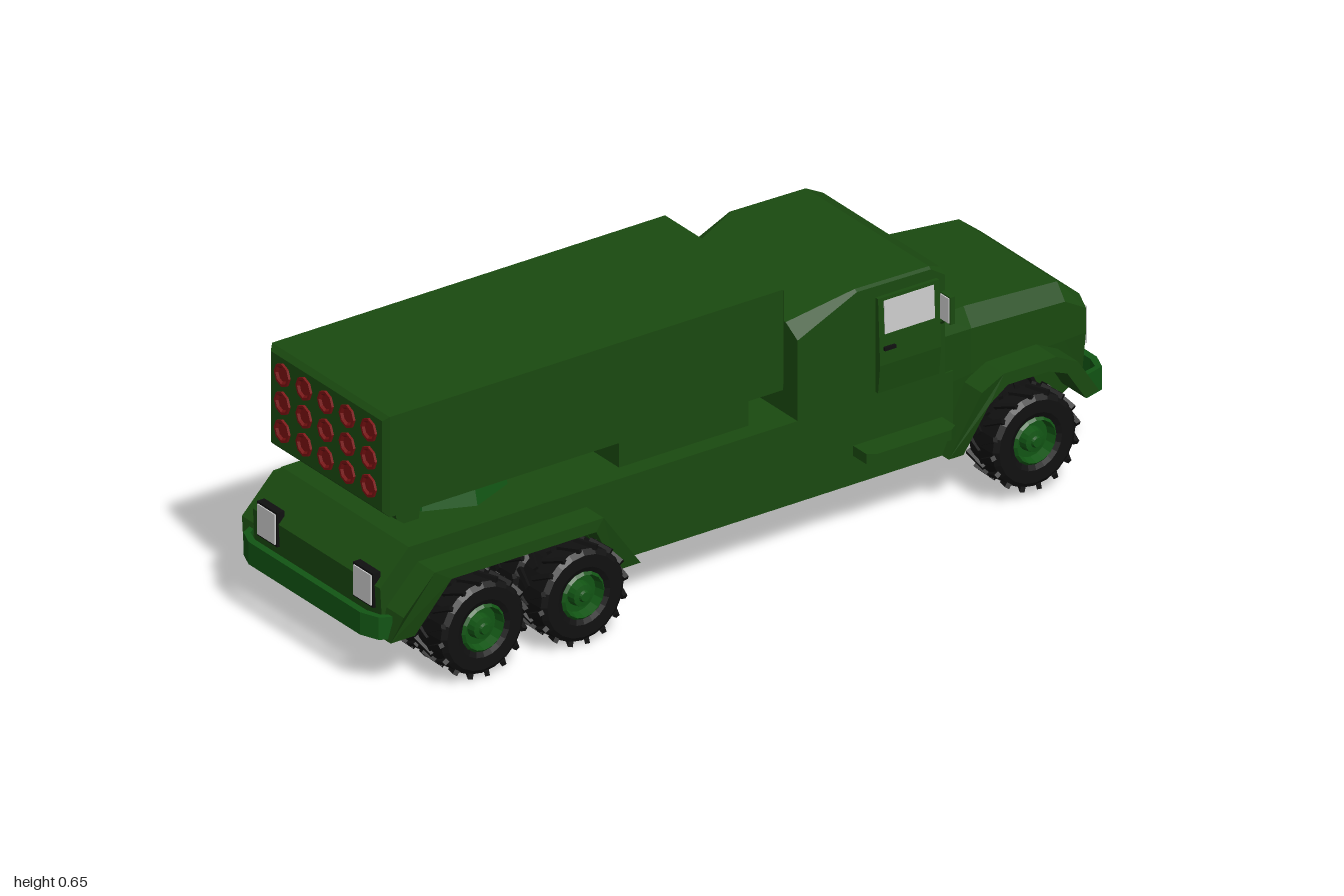
import * as THREE from 'three';
import { mergeGeometries } from 'three/addons/utils/BufferGeometryUtils.js';

const mat = (color) => new THREE.MeshStandardMaterial({ color, flatShading: true });
const green = mat(0x1a4a10), bright = mat(0x125514), black = mat(0x101010);
const red = mat(0x7a1212), grey = mat(0xcccccc);

export function createModel() {
  const model = new THREE.Group();
  const add = (name, geometry, material = green, x = 0, y = 0, z = 0) => {
    const mesh = new THREE.Mesh(geometry, material);
    mesh.name = name;
    mesh.position.set(x, y, z);
    model.add(mesh);
    return mesh;
  };
  const box = (name, w, h, d, x, y, z, material) => add(name, new THREE.BoxGeometry(w, h, d), material, x, y, z);
  const shapeOf = (pts) => new THREE.Shape(pts.map(([a, b]) => new THREE.Vector2(a, b)));

  // Side outline in (z, y), extruded between x0 and x1
  const sideExtrude = (pts, x0, x1) =>
    new THREE.ExtrudeGeometry(shapeOf(pts), { depth: x1 - x0, bevelEnabled: false })
      .rotateY(-Math.PI / 2).translate(x1, 0, 0);

  // Plan outline in (x, z), extruded between y0 and y1
  const planExtrude = (pts, y0, y1) =>
    new THREE.ExtrudeGeometry(shapeOf(pts), { depth: y1 - y0, bevelEnabled: false })
      .rotateX(Math.PI / 2).translate(0, y1, 0);

  // Skin over mirrored sections: [z, half outline from bottom to top], running towards -z
  const loft = (sections) => {
    const pos = [], idx = [];
    const n = sections[0][1].length * 2;
    for (const [z, half] of sections) {
      const ring = [...half, ...half.map(([x, y]) => [-x, y]).reverse()];
      ring.forEach(([x, y]) => pos.push(x, y, z));
    }
    for (let i = 0; i < sections.length - 1; i++)
      for (let j = 0; j < n; j++) {
        const a = i * n + j, b = i * n + (j + 1) % n;
        idx.push(a, a + n, b, b, a + n, b + n);
      }
    const last = (sections.length - 1) * n;
    for (let j = 1; j < n - 1; j++) idx.push(0, j, j + 1, last, last + j + 1, last + j);
    const g = new THREE.BufferGeometry();
    g.setAttribute('position', new THREE.Float32BufferAttribute(pos, 3));
    g.setIndex(idx);
    g.computeVertexNormals();
    return g;
  };

  // Bed and chassis
  add('bed', sideExtrude([[0.96, 0.13], [0.967, 0.25], [0.89, 0.33], [-0.58, 0.33], [-0.58, 0.13],
    [0.355, 0.13], [0.43, 0.255], [0.82, 0.255], [0.89, 0.13]], -0.24, 0.24));
  box('chassis', 0.23, 0.15, 1.82, 0, 0.205, 0.01);

  // Cab, with the roof dropping and narrowing towards the back
  const cabSection = (z, top, chamfer) =>
    [z, [[0.24, 0.32], [0.24, top - chamfer * 0.6], [0.24 - chamfer, top]]];
  add('cab', loft([cabSection(-0.16, 0.555, 0.045), cabSection(-0.32, 0.605, 0.008),
    cabSection(-0.52, 0.602, 0.008), cabSection(-0.558, 0.585, 0.02)]));

  // Hood and nose
  const hoodSection = (z, low, w, shoulder, wTop, top) =>
    [z, [[w - 0.015, low], [w, 0.3], [w, shoulder], [wTop, top]]];
  add('hood', loft([hoodSection(-0.55, 0.13, 0.24, 0.42, 0.215, 0.462),
    hoodSection(-0.64, 0.13, 0.225, 0.41, 0.195, 0.453),
    hoodSection(-0.9, 0.16, 0.215, 0.395, 0.185, 0.433),
    hoodSection(-0.96, 0.19, 0.21, 0.36, 0.185, 0.385)]));
  box('grille', 0.33, 0.12, 0.012, 0, 0.313, -0.959, black);
  for (let i = 0; i < 4; i++) box('grilleBar', 0.32, 0.008, 0.01, 0, 0.274 + i * 0.026, -0.963);
  box('grilleDivider', 0.012, 0.12, 0.01, 0, 0.313, -0.963);

  // Bumpers that wrap around the corners
  const bumper = (name, end, w, back, y0, y1) => {
    const s = Math.sign(end);
    const outer = [[w, end - s * back], [w - 0.015, end - s * 0.018], [w - 0.06, end]];
    const inner = [[w - 0.06, end - s * 0.018], [w - 0.025, end - s * 0.03], [w - 0.015, end - s * back]];
    const half = [...outer, ...inner];
    const mirrored = (pts) => pts.map(([x, z]) => [-x, z]).reverse();
    add(name, planExtrude([...outer, ...mirrored(outer), ...mirrored(half.slice(3)), ...inner], y0, y1), bright);
  };
  bumper('frontBumper', -1, 0.255, 0.07, 0.165, 0.222);
  bumper('rearBumper', 1, 0.27, 0.045, 0.135, 0.19);

  // Fender arches, drawn in at the foot
  const fender = (name, pts, side, x0, x1) => {
    const g = sideExtrude(pts, side > 0 ? x0 : -x1, side > 0 ? x1 : -x0);
    const p = g.attributes.position;
    for (let i = 0; i < p.count; i++)
      if (p.getY(i) < 0.16 && Math.abs(p.getX(i)) > x1 - 0.01) p.setX(i, side * (x1 - 0.028));
    g.computeVertexNormals();
    add(name, g);
  };

  // Wheel parts, turning around x
  const lathe = (pts, n) =>
    new THREE.LatheGeometry(pts.map(([r, x]) => new THREE.Vector2(r, x)), n).rotateZ(-Math.PI / 2);
  const tyreGeo = lathe([[0.055, -0.046], [0.07, -0.053], [0.1, -0.053], [0.112, -0.044],
    [0.114, 0], [0.112, 0.044], [0.1, 0.053], [0.07, 0.053], [0.055, 0.046], [0.05, 0], [0.055, -0.046]], 20);
  const lugs = [];
  for (let i = 0; i < 32; i++) {
    const s = i % 2 ? 1 : -1;
    lugs.push(new THREE.BoxGeometry(0.056, 0.012, 0.011).rotateY(s * 0.5)
      .translate(s * 0.026, 0.114, 0).rotateX(i * Math.PI / 16));
  }
  const treadGeo = mergeGeometries(lugs);
  const rimGeo = lathe([[0, -0.03], [0.054, -0.03], [0.058, 0.048], [0.052, 0.054], [0.046, 0.03],
    [0.03, 0.03], [0.026, 0.05], [0.014, 0.052], [0.011, 0.058], [0, 0.058]], 16);
  const wheel = (name, side, x, y, z) => {
    const g = new THREE.Group();
    g.name = name;
    g.add(new THREE.Mesh(tyreGeo, black), new THREE.Mesh(treadGeo, black), new THREE.Mesh(rimGeo, bright));
    ['tyre', 'tread', 'rim'].forEach((part, i) => { g.children[i].name = part; });
    g.position.set(side * x, y, z);
    if (side < 0) g.rotation.y = Math.PI;
    model.add(g);
  };

  for (const s of [1, -1]) {
    fender('rearFender', [[0.965, 0.13], [0.95, 0.2], [0.865, 0.287], [0.41, 0.287], [0.29, 0.13],
      [0.355, 0.13], [0.43, 0.258], [0.82, 0.258], [0.9, 0.13]], s, 0.235, 0.305);
    fender('frontFender', [[-0.55, 0.13], [-0.62, 0.285], [-0.68, 0.315], [-0.82, 0.315], [-0.88, 0.285],
      [-0.935, 0.2], [-0.9, 0.19], [-0.85, 0.265], [-0.8, 0.285], [-0.69, 0.285], [-0.64, 0.25],
      [-0.59, 0.13]], s, 0.2, 0.293);

    for (const z of [0.48, 0.75]) {
      wheel('rearOuterWheel', s, 0.277, 0.125, z);
      wheel('rearInnerWheel', s, 0.168, 0.125, z);
    }
    wheel('frontWheel', s, 0.277, 0.145, -0.74);

    // Door with a bulged skin, window and handle
    const door = new THREE.ExtrudeGeometry(
      shapeOf([[0.23, 0.34], [0.25, 0.34], [0.258, 0.41], [0.25, 0.572], [0.23, 0.572]]),
      { depth: 0.165, bevelEnabled: false });
    if (s < 0) door.rotateY(Math.PI).translate(0, 0, 0.165);
    add('door', door, green, 0, 0, -0.535);
    box('sideWindow', 0.006, 0.08, 0.135, s * 0.2515, 0.524, -0.452, grey).rotation.z = s * 0.049;
    box('doorHandle', 0.008, 0.008, 0.03, s * 0.259, 0.45, -0.395, black);

    // Step below the door
    add('step', planExtrude([[0.23, -0.55], [0.29, -0.55], [0.303, -0.53], [0.303, -0.33], [0.29, -0.31],
      [0.23, -0.31]].map(([x, z]) => [s * x, z]), 0.2, 0.225));

    // Mirror on a bent arm
    box('mirrorShell', 0.038, 0.067, 0.012, s * 0.279, 0.514, -0.537);
    box('mirrorGlass', 0.032, 0.061, 0.004, s * 0.279, 0.514, -0.53, grey);
    const arm = new THREE.CatmullRomCurve3([[0.24, 0.465], [0.258, 0.47], [0.275, 0.485]]
      .map(([x, y]) => new THREE.Vector3(s * x, y, -0.537)));
    add('mirrorArm', new THREE.TubeGeometry(arm, 6, 0.004, 5));

    // Windscreen panes and lights
    box('windscreenFrame', 0.212, 0.1, 0.006, s * 0.109, 0.524, -0.557, black);
    box('windscreen', 0.2, 0.088, 0.006, s * 0.109, 0.524, -0.56, grey);
    box('headlight', 0.034, 0.09, 0.012, s * 0.188, 0.315, -0.961, grey);
    const rearLight = box('rearLightFrame', 0.076, 0.084, 0.02, s * 0.181, 0.237, 0.961, black);
    const lens = new THREE.Mesh(new THREE.BoxGeometry(0.066, 0.074, 0.006), grey);
    lens.name = 'rearLight';
    lens.position.z = 0.01;
    rearLight.add(lens);
  }

  // Axles with a differential bulge
  for (const [y, z] of [[0.125, 0.48], [0.125, 0.75], [0.145, -0.74]])
    add('axle', lathe([[0, -0.22], [0.03, -0.22], [0.03, -0.11], [0.046, -0.1], [0.046, 0.1],
      [0.03, 0.11], [0.03, 0.22], [0, 0.22]], 8), green, 0, y, z);

  // Launcher mount
  box('frontMount', 0.39, 0.09, 0.35, 0, 0.37, 0.115);
  add('turntable', new THREE.CylinderGeometry(0.15, 0.165, 0.06, 8), bright, 0, 0.357, 0.65);
  box('turntablePlate', 0.3, 0.03, 0.3, 0, 0.395, 0.65);
  add('rearMount', sideExtrude([[0.88, 0.37], [0.888, 0.42], [0.81, 0.42], [0.82, 0.355], [0.86, 0.355]], -0.18, 0.18));

  // Launcher box with chamfered ends
  const b = 0.012;
  const hw = 0.222 - b, y0 = 0.407 + b, y1 = 0.654 - b;
  add('launcherBox', new THREE.ExtrudeGeometry(shapeOf([[-hw, y0], [hw, y0], [hw, y1], [-hw, y1]]),
    { depth: 1.085 - 2 * b, bevelThickness: b, bevelSize: b, bevelSegments: 1 }), green, 0, 0, -0.145 + b);

  // Dished tube ends at both ends of the launcher
  const dish = new THREE.LatheGeometry([[0.028, -0.004], [0.028, 0.006], [0.022, 0.006], [0.017, 0.001], [0, 0.001]]
    .map(([r, h]) => new THREE.Vector2(r, h)), 8).rotateX(Math.PI / 2);
  for (const end of [1, -1])
    for (let row = 0; row < 3; row++)
      for (let col = -2; col <= 2; col++) {
        const tube = add('rocketTube', dish, red, col * 0.0815, 0.465 + row * 0.069, end > 0 ? 0.94 : -0.145);
        if (end < 0) tube.rotation.y = Math.PI;
      }

  return model;
}
